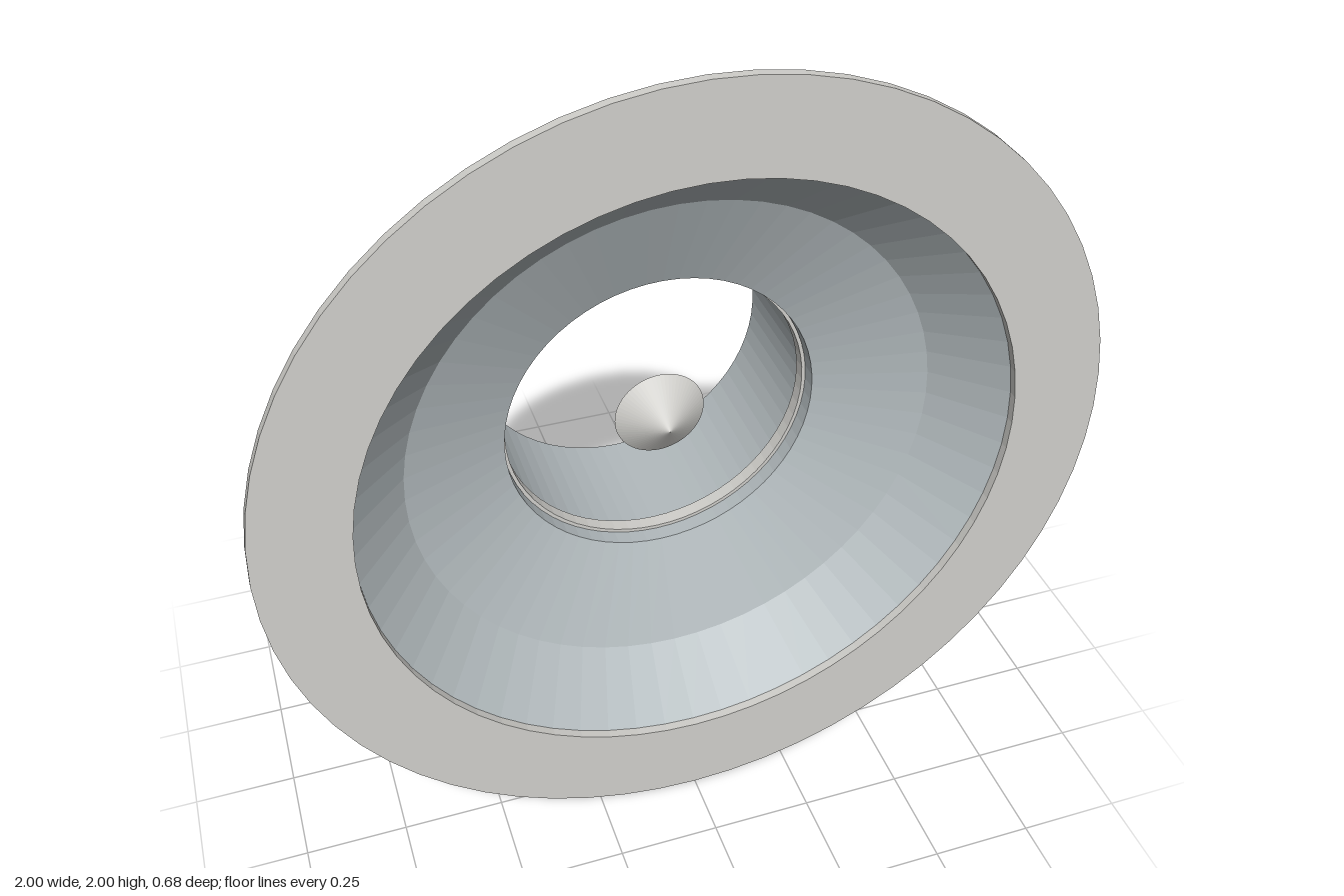
import * as THREE from 'three';

const SEGMENTS = 64;

export function createModel() {
  const group = new THREE.Group();
  const mat = (name, color) => {
    const m = new THREE.MeshStandardMaterial({ color, side: THREE.DoubleSide, flatShading: true });
    m.name = name;
    return m;
  };
  const warm = mat('warm light grey', 0xd0cfcb);
  const cool = mat('cool steel grey', 0xb2babd);

  // Revolve a profile of [radius, z] points about the front-back axis
  const revolve = (name, material, profile) => {
    const geo = new THREE.LatheGeometry(profile.map(([r, z]) => new THREE.Vector2(r, z)), SEGMENTS);
    geo.rotateX(Math.PI / 2);
    const mesh = new THREE.Mesh(geo, material);
    mesh.name = name;
    mesh.position.y = 1;
    group.add(mesh);
  };

  // Flat mounting ring at the front
  revolve('flange', warm, [[0.78, 0.317], [1, 0.317], [1, 0.34], [0.78, 0.34], [0.78, 0.317]]);
  // Steep outer funnel behind the flange
  revolve('frontFunnel', cool, [[0.64, 0.167], [0.78, 0.318]]);
  // Shallow rear cone with an overhanging edge
  revolve('rearCone', warm, [[0.385, 0], [0.67, 0.16], [0.64, 0.167]]);
  // Inner liner narrowing to the throat
  revolve('innerLiner', cool, [[0.385, 0.06], [0.64, 0.167]]);
  // Open pipe at the back, running into the throat
  revolve('pipe', cool, [[0.385, -0.34], [0.385, 0.06]]);
  // Narrow lip inside the throat
  revolve('throatLip', warm, [[0.375, -0.015], [0.384, -0.015], [0.384, 0.02], [0.375, 0.02], [0.375, -0.015]]);
  // Small double-pointed cone floating in the centre
  revolve('centreCone', warm, [[0, -0.04], [0.112, 0.04], [0, 0.12]]);

  return group;
}
